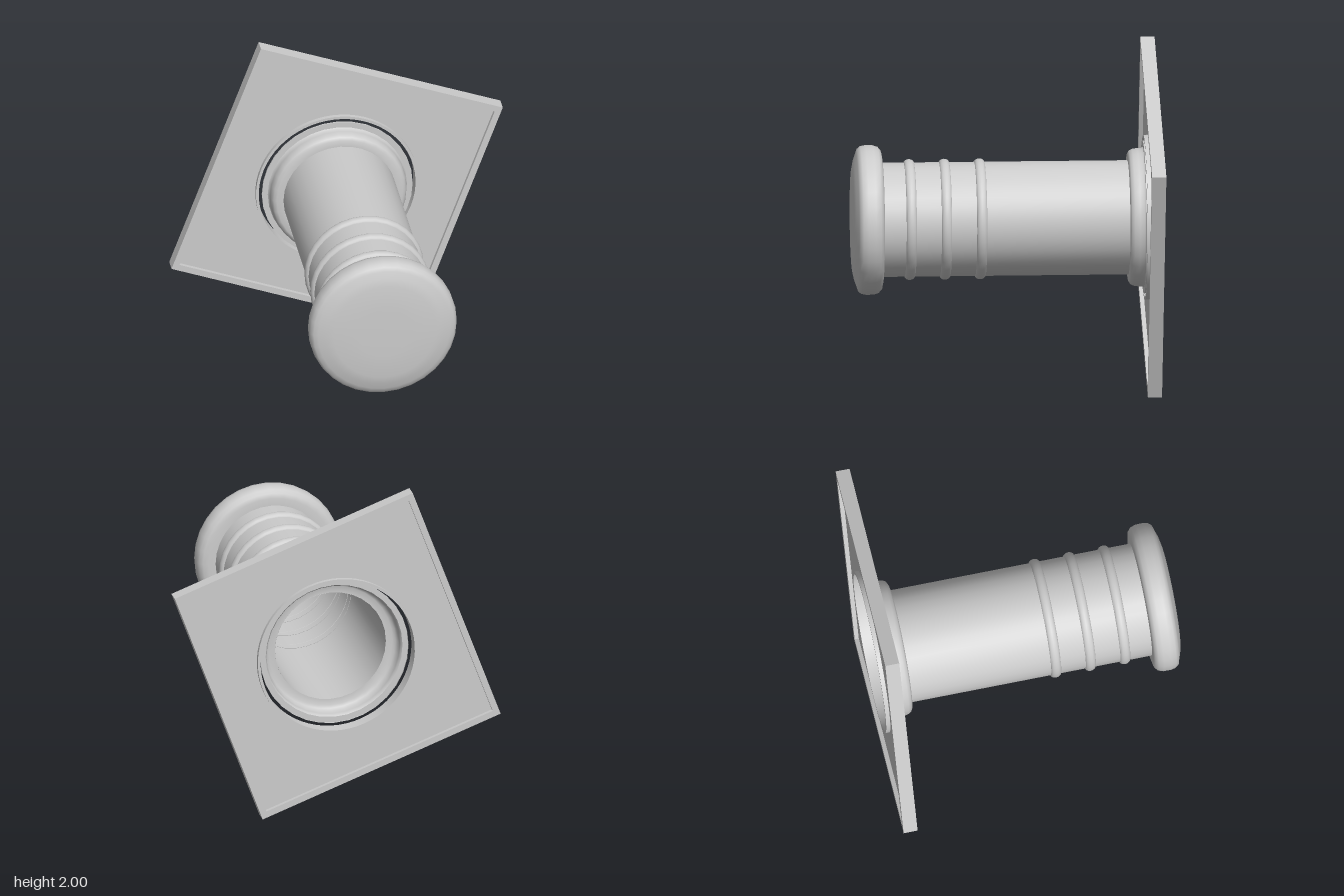
import * as THREE from 'three';
import { toCreasedNormals } from 'three/addons/utils/BufferGeometryUtils.js';

const material = new THREE.MeshStandardMaterial({ color: 0xcccccc, side: THREE.DoubleSide });
const SEGMENTS = 32;

export function createModel() {
  const group = new THREE.Group();

  const add = (name, geometry, parent) => {
    const mesh = new THREE.Mesh(geometry, material);
    mesh.name = name;
    parent.add(mesh);
    return mesh;
  };

  // Turned part along z, from [radius, z] pairs ordered back to front
  const turned = (name, profile, parent) => {
    const geometry = new THREE.LatheGeometry(profile.map(([r, z]) => new THREE.Vector2(r, z)), SEGMENTS);
    geometry.rotateX(Math.PI / 2);
    return add(name, toCreasedNormals(geometry, 0.7), parent);
  };

  const square = (half, Type) => new Type([
    new THREE.Vector2(-half, -half), new THREE.Vector2(half, -half),
    new THREE.Vector2(half, half), new THREE.Vector2(-half, half),
  ]);
  const circle = (radius, Type) => new Type().absarc(0, 0, radius, 0, Math.PI * 2);

  // Flat plate with an opening, between two depths
  const slab = (name, outline, hole, back, front, parent) => {
    outline.holes.push(hole);
    const geometry = new THREE.ExtrudeGeometry(outline, {
      depth: front - back, bevelEnabled: false, curveSegments: SEGMENTS,
    });
    geometry.translate(0, 0, back);
    return add(name, toCreasedNormals(geometry, 0.7), parent);
  };

  // Tilted wall plate: raised rim, recessed panel and collar round the hole
  const plate = new THREE.Group();
  plate.name = 'wallPlate';
  plate.rotation.z = -0.354;
  group.add(plate);
  slab('plateRim', square(0.778, THREE.Shape), square(0.74, THREE.Path), -0.915, -0.83, plate);
  slab('platePanel', square(0.74, THREE.Shape), circle(0.49, THREE.Path), -0.89, -0.855, plate);
  slab('holeCollar', circle(0.49, THREE.Shape), circle(0.473, THREE.Path), -0.915, -0.83, plate);

  // Hollow tube with its flared base
  const pipe = new THREE.Group();
  pipe.name = 'pipe';
  group.add(pipe);
  turned('tube', [[0.34, -0.735], [0.34, 0.74]], pipe);
  turned('baseFlange', [
    [0.455, -0.835], [0.455, -0.825], [0.42, -0.825], [0.412, -0.815], [0.412, -0.79],
    [0.407, -0.76], [0.397, -0.742], [0.38, -0.733], [0.34, -0.733],
  ], pipe);

  // Three raised bands
  for (const z of [0.15, 0.36, 0.57]) {
    const profile = [];
    for (let i = 0; i <= 8; i++) {
      const a = (i / 8) * Math.PI;
      profile.push([0.338 + 0.022 * Math.sin(a), z - 0.031 * Math.cos(a)]);
    }
    turned('band', profile, pipe);
  }

  // Rounded end cap with a shallow front face
  turned('endCap', [
    [0.34, 0.732], [0.385, 0.732], [0.415, 0.738], [0.435, 0.755], [0.445, 0.785],
    [0.446, 0.83], [0.44, 0.86], [0.425, 0.878], [0.4, 0.886], [0.36, 0.9],
    [0.31, 0.91], [0.16, 0.914], [0, 0.915],
  ], pipe);

  group.position.y = 1;
  const model = new THREE.Group();
  model.name = 'wallMountedPipe';
  model.add(group);
  return model;
}
